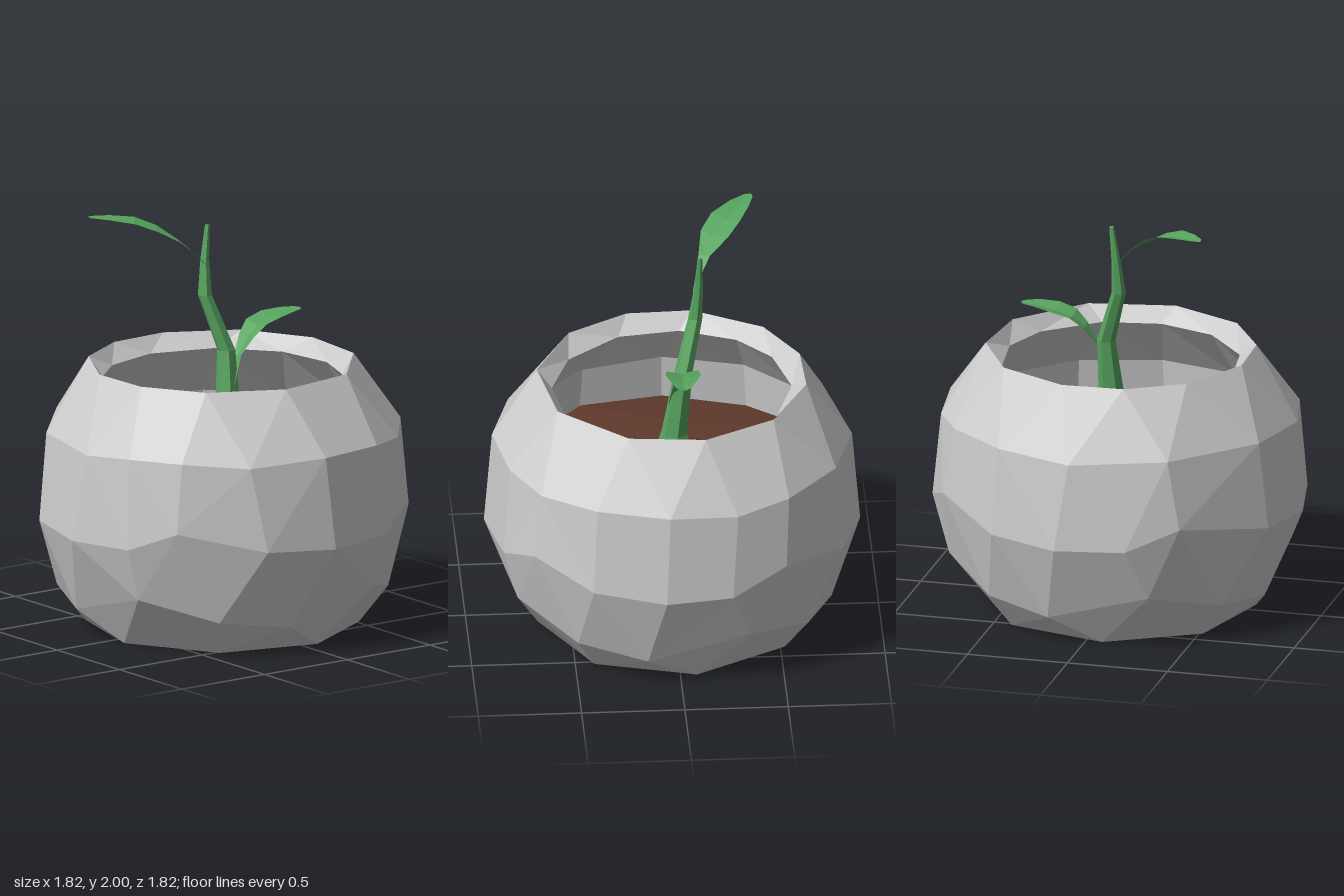
import * as THREE from 'three';

const mat = (color, side = THREE.FrontSide) =>
  new THREE.MeshStandardMaterial({ color, side, flatShading: true });

function makeMesh(name, points, material) {
  const g = new THREE.BufferGeometry().setFromPoints(points);
  g.computeVertexNormals();
  const m = new THREE.Mesh(g, material);
  m.name = name;
  return m;
}

// A ring of points around (cx, cz); angles in degrees from +z toward +x.
// r and y may be numbers or lists that repeat around the ring.
function ring(angles, r, y, cx = 0, cz = 0) {
  const pick = (v, i) => (Array.isArray(v) ? v[i % v.length] : v);
  return angles.map((a, i) => {
    const t = THREE.MathUtils.degToRad(a);
    const p = new THREE.Vector3(cx + pick(r, i) * Math.sin(t), pick(y, i), cz + pick(r, i) * Math.cos(t));
    return { a, p };
  });
}

// Joins two rings with any number of points, walking both by angle.
function zip(A, B, out) {
  const angle = (R, i) => R[i % R.length].a + 360 * Math.floor(i / R.length);
  const at = (R, i) => R[i % R.length].p;
  let i = 0, j = 0;
  while (i < A.length || j < B.length) {
    const nextA = i < A.length ? angle(A, i) + angle(A, i + 1) : Infinity;
    const nextB = j < B.length ? angle(B, j) + angle(B, j + 1) : Infinity;
    if (nextA <= nextB) {
      out.push(at(A, i), at(A, i + 1), at(B, j));
      i++;
    } else {
      out.push(at(A, i), at(B, j + 1), at(B, j));
      j++;
    }
  }
}

function loft(rings) {
  const out = [];
  for (let k = 0; k < rings.length - 1; k++) zip(rings[k], rings[k + 1], out);
  return out;
}

const even = (n, start = 0) => Array.from({ length: n }, (_, i) => start + (360 * i) / n);

// Leaf blade with a shallow crease; rows are [x, y, z, halfWidth].
function leaf(name, rows, material, tilt = 0) {
  const sections = rows.map(([x, y, z, w], i) => {
    const a = rows[Math.max(i - 1, 0)], b = rows[Math.min(i + 1, rows.length - 1)];
    const side = new THREE.Vector3(b[2] - a[2], 0, a[0] - b[0]).normalize().multiplyScalar(w);
    const mid = new THREE.Vector3(x, y, z);
    const left = mid.clone().add(side), right = mid.clone().sub(side);
    left.y += w * (0.2 + tilt);
    right.y += w * (0.2 - tilt);
    return [left, mid, right];
  });
  const out = [];
  for (let k = 0; k < sections.length - 1; k++) {
    const s = sections[k], t = sections[k + 1];
    for (let c = 0; c < 2; c++) out.push(s[c], s[c + 1], t[c], s[c + 1], t[c + 1], t[c]);
  }
  return makeMesh(name, out, material);
}

export function createModel() {
  const model = new THREE.Group();
  model.name = 'pottedSprout';

  // Rough faceted pot: closed base, bulging wall, bevelled lip, hollow inside
  const base = even(8, 7);
  const low = [0, 90, 180, 270].flatMap(q => [q - 12, q + 24, q + 52]);
  const belly = [0, 23, 39, 67, 90, 113, 130, 152, 175, 195.5, 214, 241.5, 264, 286, 303, 336.5];
  const shoulder = [4, 22, 40, 62, 88, 112, 130, 152, 176, 198, 217, 242, 268, 300, 335];
  const rim = [-12, 16, 46, 81, 119, 158, 191, 225, 259, 286, 314];
  const lip = [-7, 23, 56, 85, 114, 147, 173, 203, 236, 270, 300, 324];
  const inner = even(12);
  const pot = loft([
    ring(base, 0, 0),
    ring(base, 0.66, 0),
    ring(low, [0.78, 0.84, 0.8], [0.14, 0.28, 0.18]),
    ring(belly, 0.91, [0.53, 0.54, 0.64, 0.55]),
    ring(shoulder, 0.87, [0.96, 0.98, 0.98]),
    ring(rim, 0.655, 1.29),
    ring(lip, 0.58, 1.215),
    ring(inner, 0.78, 0.96),
    ring(inner, 0.82, 0.6),
  ]);
  model.add(makeMesh('pot', pot, mat(0xcccccc)));

  // Soil with a small uneven mound around the stem
  const soil = loft([
    ring(even(12), 0.82, [0.73, 0.75, 0.72]),
    ring(even(9, 10), [0.56, 0.6, 0.52], [0.76, 0.73]),
    ring(even(7, 5), [0.34, 0.36, 0.3], [0.75, 0.77], -0.03, 0.02),
    ring(even(6), 0.13, [0.9, 0.87], -0.02, 0.0),
    ring(even(6), 0, 0.91, -0.02, -0.01),
  ]);
  model.add(makeMesh('soil', soil, mat(0x5f392b)));

  // Kinked, tapering stem
  const green = 0x57a55f;
  const six = even(6, 10);
  const stem = loft([
    [0.11, 0.85, -0.01, -0.03],
    [0.065, 1.0, -0.01, -0.04],
    [0.045, 1.33, -0.05, -0.06],
    [0.035, 1.6, -0.115, 0.02],
    [0.022, 1.77, -0.13, 0.01],
    [0.012, 1.94, -0.135, -0.01],
    [0, 1.94, -0.135, -0.01],
  ].map(([r, y, x, z]) => ring(six, r, y, x, z)));
  model.add(makeMesh('stem', stem, mat(green)));

  // Two arching leaves on short stalks
  const leafMat = mat(green, THREE.DoubleSide);
  model.add(leaf('upperLeaf', [
    [-0.115, 1.74, 0.01, 0.014],
    [-0.14, 1.82, 0.08, 0.016],
    [-0.165, 1.87, 0.14, 0.03],
    [-0.22, 1.925, 0.23, 0.075],
    [-0.28, 1.965, 0.32, 0.08],
    [-0.35, 1.985, 0.42, 0.055],
    [-0.4, 1.995, 0.49, 0.025],
    [-0.415, 2.0, 0.505, 0.004],
  ], leafMat));
  model.add(leaf('lowerLeaf', [
    [-0.01, 1.16, -0.05, 0.03],
    [-0.025, 1.3, -0.11, 0.025],
    [-0.03, 1.38, -0.17, 0.055],
    [-0.035, 1.43, -0.23, 0.078],
    [-0.035, 1.455, -0.32, 0.085],
    [-0.03, 1.47, -0.41, 0.06],
    [-0.03, 1.475, -0.47, 0.035],
    [-0.03, 1.48, -0.49, 0.012],
  ], leafMat));

  return model;
}
